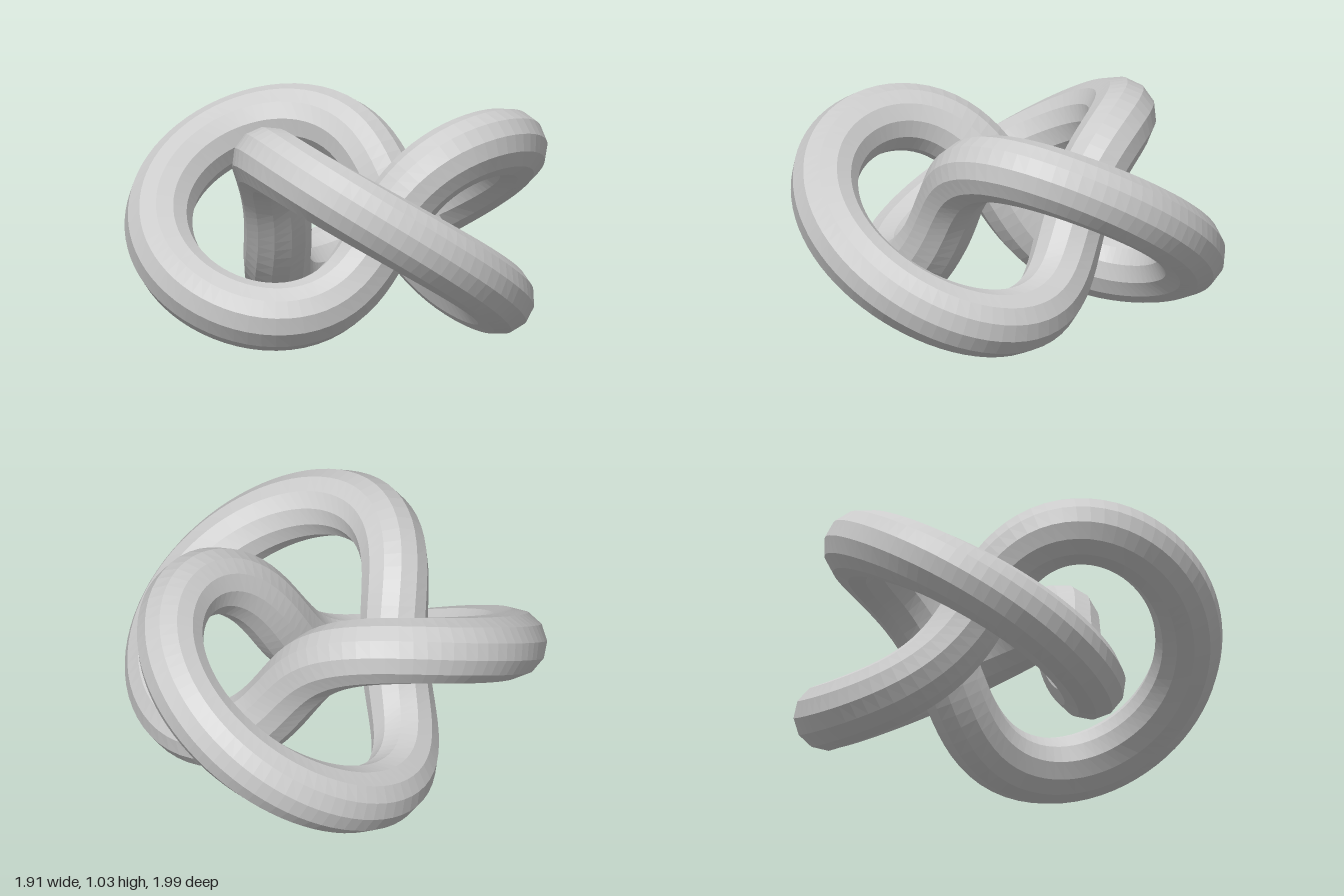
import * as THREE from 'three';

// Trefoil path: twice around the vertical axis, three waves in radius and height
class TrefoilCurve extends THREE.Curve {
  getPoint(t, target = new THREE.Vector3()) {
    const u = t * Math.PI * 4;
    const r = 0.618 + 0.273 * Math.cos(1.5 * u);
    return target.set(
      r * Math.cos(u) - 0.091,
      0.515 + 0.36 * Math.sin(1.5 * u),
      r * Math.sin(u)
    );
  }
}

export function createModel() {
  const group = new THREE.Group();
  group.name = 'trefoilKnot';

  // One closed, faceted tube
  const material = new THREE.MeshStandardMaterial({ color: 0xcccccc, flatShading: true });
  const tube = new THREE.Mesh(new THREE.TubeGeometry(new TrefoilCurve(), 200, 0.156, 12, true), material);
  tube.name = 'knotTube';
  group.add(tube);

  return group;
}
